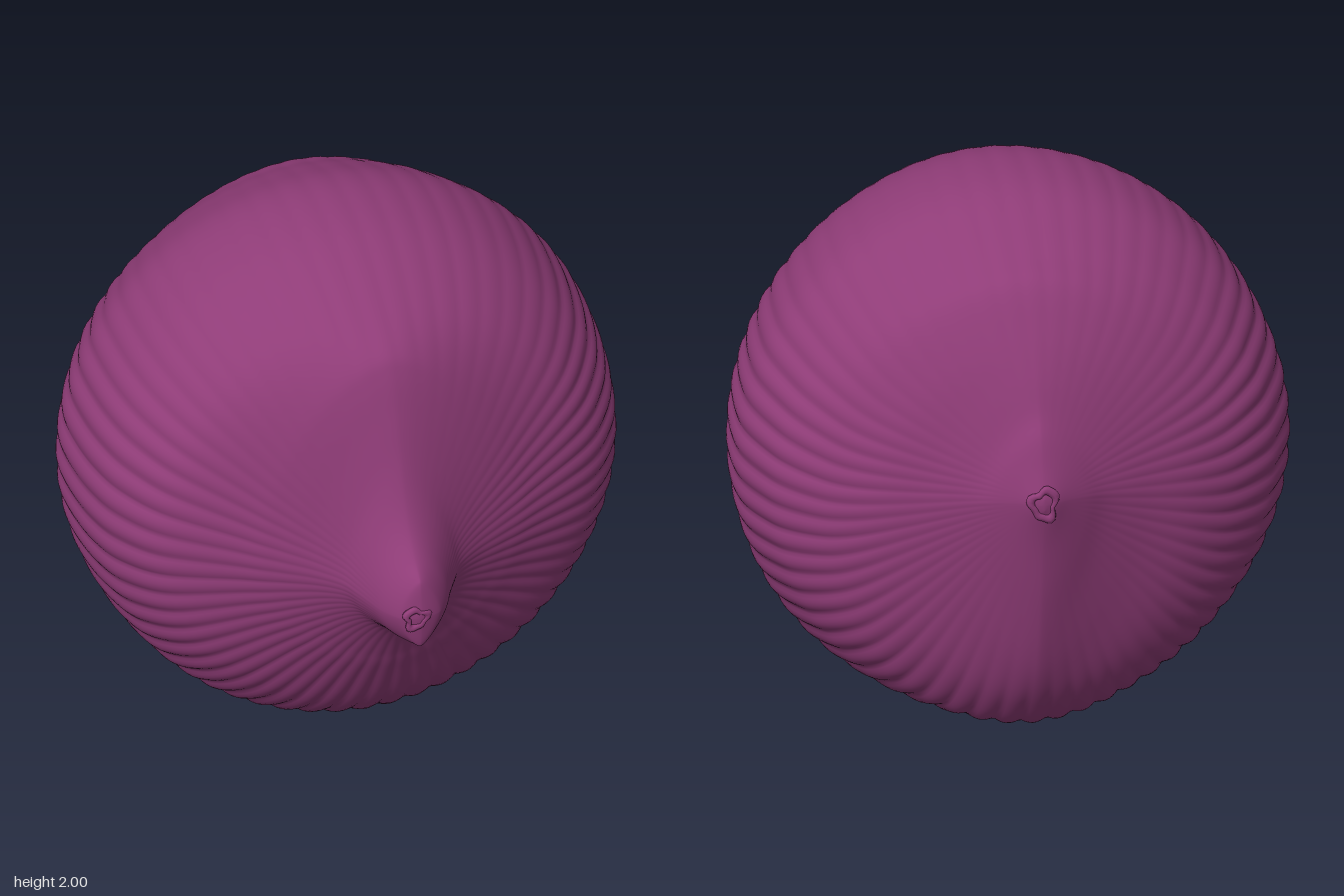
import * as THREE from 'three';

// Sections from front tip to back tip: z, top y, bottom y, half width
const SECTIONS = [
  [0.925, 0.92, 0.88, 0.015], [0.91, 1.02, 0.78, 0.06], [0.89, 1.05, 0.765, 0.085],
  [0.84, 1.09, 0.75, 0.12], [0.78, 1.16, 0.735, 0.15], [0.73, 1.25, 0.715, 0.18],
  [0.68, 1.38, 0.68, 0.22], [0.63, 1.54, 0.61, 0.30], [0.58, 1.69, 0.52, 0.41],
  [0.53, 1.77, 0.42, 0.52], [0.4, 1.855, 0.2, 0.77], [0.24, 1.935, 0.06, 0.90],
  [0.08, 1.985, 0.02, 0.955], [-0.1, 2.0, 0.0, 0.975], [-0.25, 1.98, 0.02, 0.965],
  [-0.4, 1.92, 0.055, 0.91], [-0.5, 1.87, 0.085, 0.85], [-0.6, 1.815, 0.12, 0.74],
  [-0.69, 1.675, 0.225, 0.58], [-0.76, 1.54, 0.35, 0.38], [-0.81, 1.42, 0.5, 0.25],
  [-0.855, 1.34, 0.71, 0.165], [-0.89, 1.24, 0.93, 0.095], [-0.915, 1.17, 1.06, 0.045],
  [-0.925, 1.14, 1.1, 0.01],
];
const STEPS = 144, AROUND = 420, RIBS = 60;
const smooth = THREE.MathUtils.smoothstep;

// Lens-shaped sections, pointed at the seam near the tips and round in the middle
function shellGeometry() {
  const curve = (f) => new THREE.CatmullRomCurve3(SECTIONS.map(f), false, 'catmullrom', 0.5);
  const heights = curve(([z, t, b]) => new THREE.Vector3(z, t, b));
  const widths = curve(([z, , , w]) => new THREE.Vector3(z, w, 0));
  const pos = [], index = [];
  for (let i = 0; i <= STEPS; i++) {
    const { x: z, y: top, z: bottom } = heights.getPoint(i / STEPS);
    const w = Math.max(widths.getPoint(i / STEPS).y, 0.005);
    const cy = 1 - 0.1 * smooth(z, 0.4, 0.85) + 0.12 * smooth(-z, 0.6, 0.92);
    const p = THREE.MathUtils.clamp(2 * Math.sqrt((2 * w) / (top - bottom)), 1.35, 2);
    const fade = smooth(w, 0.1, 0.8);
    for (let j = 0; j < AROUND; j++) {
      const a = (j / AROUND) * Math.PI * 2;
      const c = Math.cos(a), s = Math.sin(a);
      const h = Math.max(s > 0 ? top - cy : cy - bottom, 0.005);
      const r = Math.pow(Math.pow(Math.abs(c) / w, p) + Math.pow(Math.abs(s) / h, p), -1 / p);
      // Shallow ribs, softer over the top
      const rib = Math.abs(Math.cos(a * RIBS / 2 + 0.5 * Math.sin(a * 3))) - 0.85;
      const rr = r + 0.016 * fade * rib * (1 - 0.8 * smooth(s, 0.3, 0.85));
      pos.push(c * rr, cy + s * rr, z);
    }
  }
  for (let i = 0; i < STEPS; i++) for (let j = 0; j < AROUND; j++) {
    const k = (j + 1) % AROUND;
    const a = i * AROUND + j, b = i * AROUND + k;
    index.push(a, a + AROUND, b, b, a + AROUND, b + AROUND);
  }
  // Close both tips
  const last = STEPS * AROUND, n = pos.length / 3;
  pos.push(0, 0.9, 0.926, 0, 1.12, -0.926);
  for (let j = 0; j < AROUND; j++) {
    const k = (j + 1) % AROUND;
    index.push(n, j, k, n + 1, last + k, last + j);
  }
  const g = new THREE.BufferGeometry();
  g.setAttribute('position', new THREE.Float32BufferAttribute(pos, 3));
  g.setIndex(index);
  g.computeVertexNormals();
  return g;
}

// Small wrinkled ring left on a tip
function scar(name, radius, material) {
  const g = new THREE.TorusGeometry(radius, 0.013, 8, 28);
  const p = g.attributes.position;
  for (let i = 0; i < p.count; i++) {
    const a = Math.atan2(p.getY(i), p.getX(i));
    const k = 1 + 0.16 * Math.sin(3 * a + 1) + 0.1 * Math.sin(5 * a);
    p.setXY(i, p.getX(i) * k, p.getY(i) * k);
  }
  g.computeVertexNormals();
  const mesh = new THREE.Mesh(g, material);
  mesh.name = name;
  return mesh;
}

export function createModel() {
  const group = new THREE.Group();
  group.name = 'ribbedShell';
  const plum = new THREE.MeshStandardMaterial({ color: 0x8f3c77 });
  plum.name = 'plum';

  const shell = new THREE.Mesh(shellGeometry(), plum);
  shell.name = 'shell';

  const frontScar = scar('frontScar', 0.035, plum);
  frontScar.position.set(-0.02, 0.9, 0.918);
  const backScar = scar('backScar', 0.04, plum);
  backScar.scale.y = 1.3;
  backScar.position.set(0, 1.12, -0.916);

  group.add(shell, frontScar, backScar);
  return group;
}
